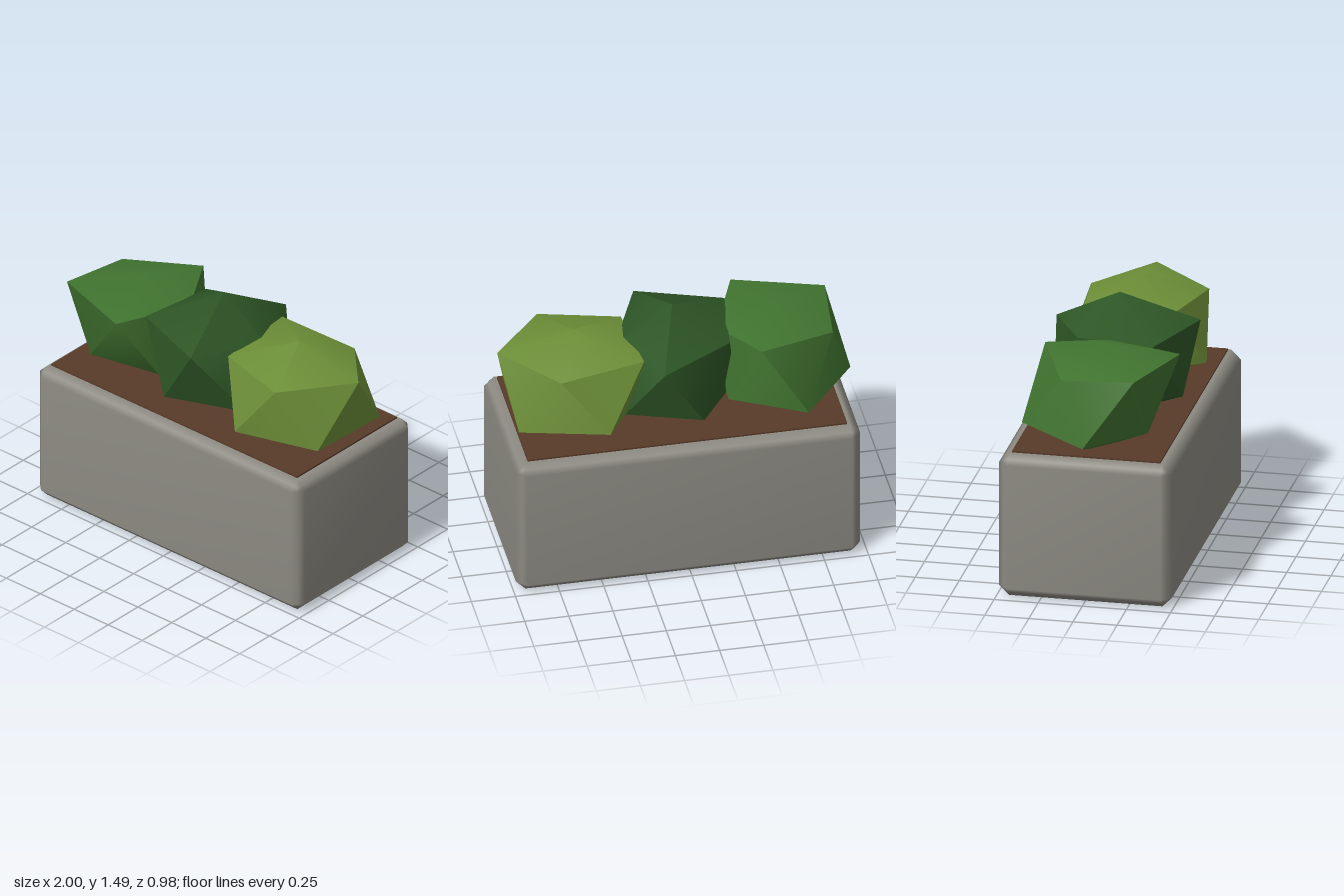
import * as THREE from 'three';
import { mergeVertices, toCreasedNormals } from 'three/addons/utils/BufferGeometryUtils.js';

const material = (name, color) => {
  const m = new THREE.MeshStandardMaterial({ color });
  m.name = name;
  return m;
};

// Box with chamfered edges and soft normals
function chamferedBox(w, h, d, r) {
  const half = [w / 2, h / 2, d / 2];
  let geo = new THREE.BoxGeometry(w, h, d, 3, 3, 3);
  const pos = geo.attributes.position;
  for (let i = 0; i < pos.count; i++) {
    const p = [pos.getX(i), pos.getY(i), pos.getZ(i)];
    const outer = p.map((v, k) => Math.abs(v) > half[k] * 0.9);
    const pull = [0, 0, r / 2, r * 0.62][outer.filter(Boolean).length];
    pos.setXYZ(i, ...p.map((v, k) => Math.sign(v) * (half[k] - (outer[k] ? pull : r))));
  }
  geo.deleteAttribute('normal');
  geo.deleteAttribute('uv');
  geo = mergeVertices(geo);
  geo.computeVertexNormals();
  return geo;
}

// Irregular twenty-sided clump: a top and a bottom point joined by two rings of five
function bushGeometry({ top, upper, lower, bottom }) {
  const tris = [];
  for (let i = 0; i < 5; i++) {
    const j = (i + 1) % 5;
    tris.push(
      top, upper[j], upper[i],
      upper[i], upper[j], lower[i],
      lower[i], upper[j], lower[j],
      bottom, lower[i], lower[j]
    );
  }
  const geo = new THREE.BufferGeometry();
  geo.setAttribute('position', new THREE.Float32BufferAttribute(tris.flat(), 3));
  geo.computeVertexNormals();
  return toCreasedNormals(geo, 0.7);
}

const BUSHES = [
  {
    name: 'rightBush', color: 'midGreen', hex: 0x417430,
    top: [-0.55, 1.4, 0],
    upper: [[-0.24, 1.3, 0], [-0.41, 1.31, 0.43], [-0.91, 1.31, 0.27], [-0.87, 1.28, -0.15], [-0.43, 1.33, -0.33]],
    lower: [[-0.28, 0.94, 0.22], [-0.7, 0.94, 0.31], [-1, 0.93, 0], [-0.68, 0.94, -0.41], [-0.27, 0.94, -0.19]],
    bottom: [-0.57, 0.78, 0]
  },
  {
    name: 'middleBush', color: 'darkGreen', hex: 0x2d5525,
    top: [0.01, 1.49, 0],
    upper: [[0.325, 1.28, 0], [0.14, 1.31, 0.43], [-0.34, 1.31, 0.26], [-0.28, 1.31, -0.18], [0.13, 1.28, -0.385]],
    lower: [[0.35, 0.94, 0.2], [-0.1, 0.94, 0.38], [-0.35, 0.93, 0], [-0.1, 0.93, -0.35], [0.32, 0.94, -0.22]],
    bottom: [0, 0.78, 0]
  },
  {
    name: 'leftBush', color: 'limeGreen', hex: 0x6c8e37,
    top: [0.57, 1.4, 0],
    upper: [[1, 1.3, 0], [0.7, 1.28, 0.36], [0.25, 1.28, 0.24], [0.22, 1.3, -0.25], [0.7, 1.26, -0.31]],
    lower: [[0.91, 0.93, 0.24], [0.44, 0.94, 0.4], [0.17, 0.94, 0], [0.44, 0.94, -0.4], [0.93, 0.93, -0.26]],
    bottom: [0.58, 0.78, 0]
  }
];

export function createModel() {
  const model = new THREE.Group();
  model.name = 'planter';
  const add = (name, geo, mat, x = 0, y = 0) => {
    const mesh = new THREE.Mesh(geo, mat);
    mesh.name = name;
    mesh.position.set(x, y, 0);
    model.add(mesh);
  };

  // Stone trough
  add('trough', chamferedBox(1.95, 0.84, 0.98, 0.055), material('stoneGrey', 0x8c8a82), 0.01, 0.42);
  // Soil layer
  add('soil', new THREE.BoxGeometry(1.81, 0.06, 0.84), material('soilBrown', 0x583b29), 0.01, 0.82);
  // Bushes
  for (const bush of BUSHES) add(bush.name, bushGeometry(bush), material(bush.color, bush.hex));

  return model;
}
